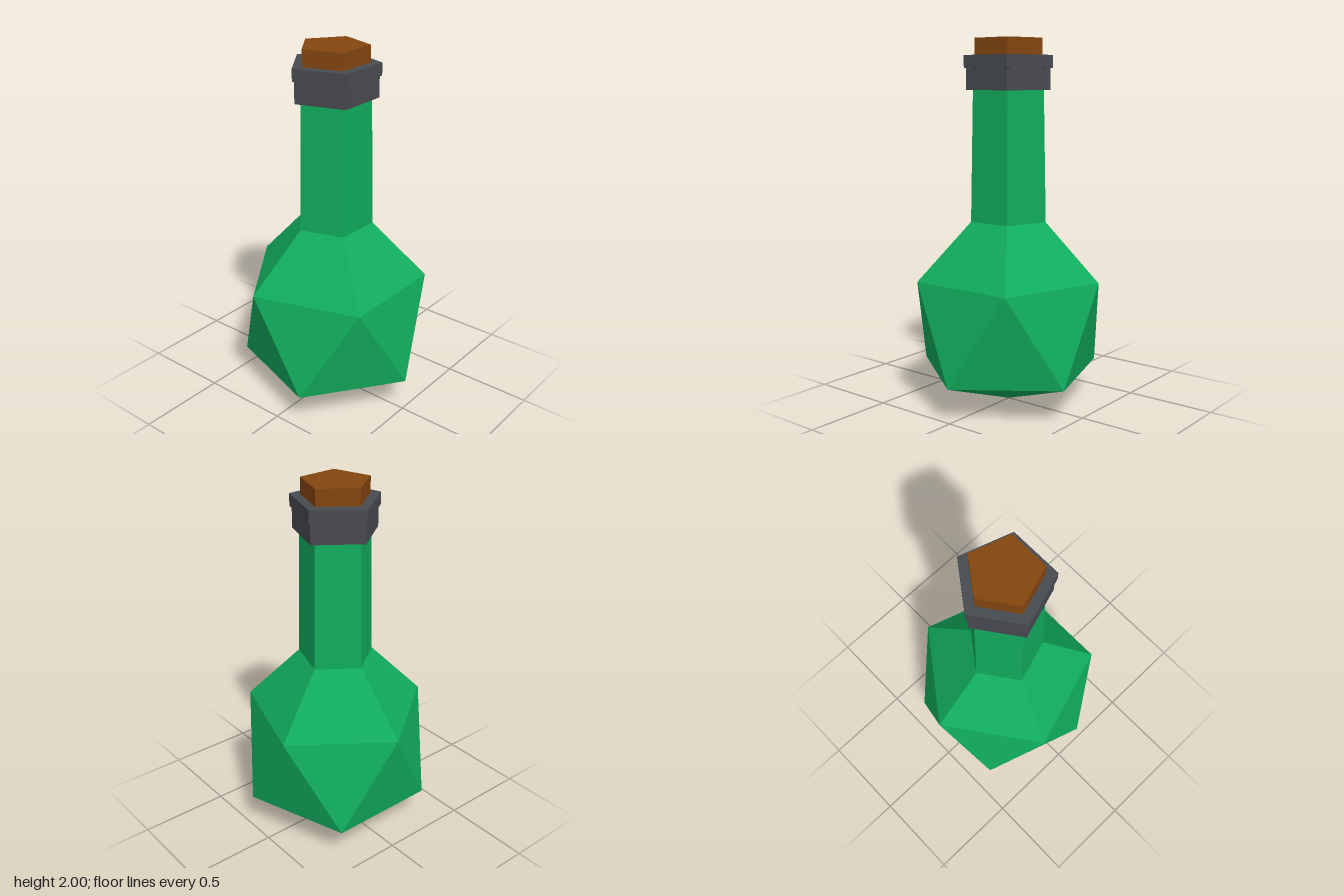
import * as THREE from 'three';

const SIDES = 5;
const STEP = (Math.PI * 2) / SIDES;
const START = -Math.PI / 2; // first corner points to -x

function material(name, color) {
  const m = new THREE.MeshStandardMaterial({ color });
  m.name = name;
  return m;
}

// Five corners at height y; turn is a fraction of one side
function ring(radius, y, turn = 0) {
  return Array.from({ length: SIDES }, (_, i) => {
    const a = START + (i + turn) * STEP;
    return new THREE.Vector3(radius * Math.sin(a), y, radius * Math.cos(a));
  });
}

// Pointed faceted flask: cone base, belt of triangles, shoulder and neck
function flaskGeometry() {
  const apex = new THREE.Vector3(0, 0, 0);
  const low = ring(0.513, 0.19, 0.5);
  const high = ring(0.513, 0.704);
  const neckBase = ring(0.213, 1.02);
  const neckTop = ring(0.198, 1.74);
  const points = [];
  for (let i = 0; i < SIDES; i++) {
    const j = (i + 1) % SIDES;
    points.push(apex, low[j], low[i]);
    points.push(high[i], low[i], high[j]);
    points.push(low[i], low[j], high[j]);
    for (const [a, b] of [[high, neckBase], [neckBase, neckTop]]) {
      points.push(a[i], a[j], b[j], a[i], b[j], b[i]);
    }
  }
  const geometry = new THREE.BufferGeometry().setFromPoints(points);
  geometry.computeVertexNormals();
  return geometry;
}

// Five-sided slab between two heights
function slab(radius, y0, y1) {
  const g = new THREE.CylinderGeometry(radius, radius, y1 - y0, SIDES, 1, false, START);
  // Unshared corners give flat facets
  const flat = g.toNonIndexed();
  flat.computeVertexNormals();
  return flat.translate(0, (y0 + y1) / 2, 0);
}

export function createModel() {
  const glass = material('green glass', 0x11ad5d);
  const metal = material('dark grey', 0x484b50);
  const cork = material('brown cork', 0x84460f);
  const red = material('dark red', 0x5a1a14);
  for (const m of [glass, metal, cork, red]) m.flatShading = true;

  const model = new THREE.Group();
  model.name = 'bottle';
  const add = (name, geometry, mat) => {
    const mesh = new THREE.Mesh(geometry, mat);
    mesh.name = name;
    model.add(mesh);
  };

  add('flask', flaskGeometry(), glass);
  add('collar', slab(0.235, 1.727, 1.843), metal);
  // Lip with a red underside
  add('lip', slab(0.247, 1.843, 1.91), [metal, metal, red]);
  add('stopper', slab(0.188, 1.9, 2), cork);
  return model;
}
